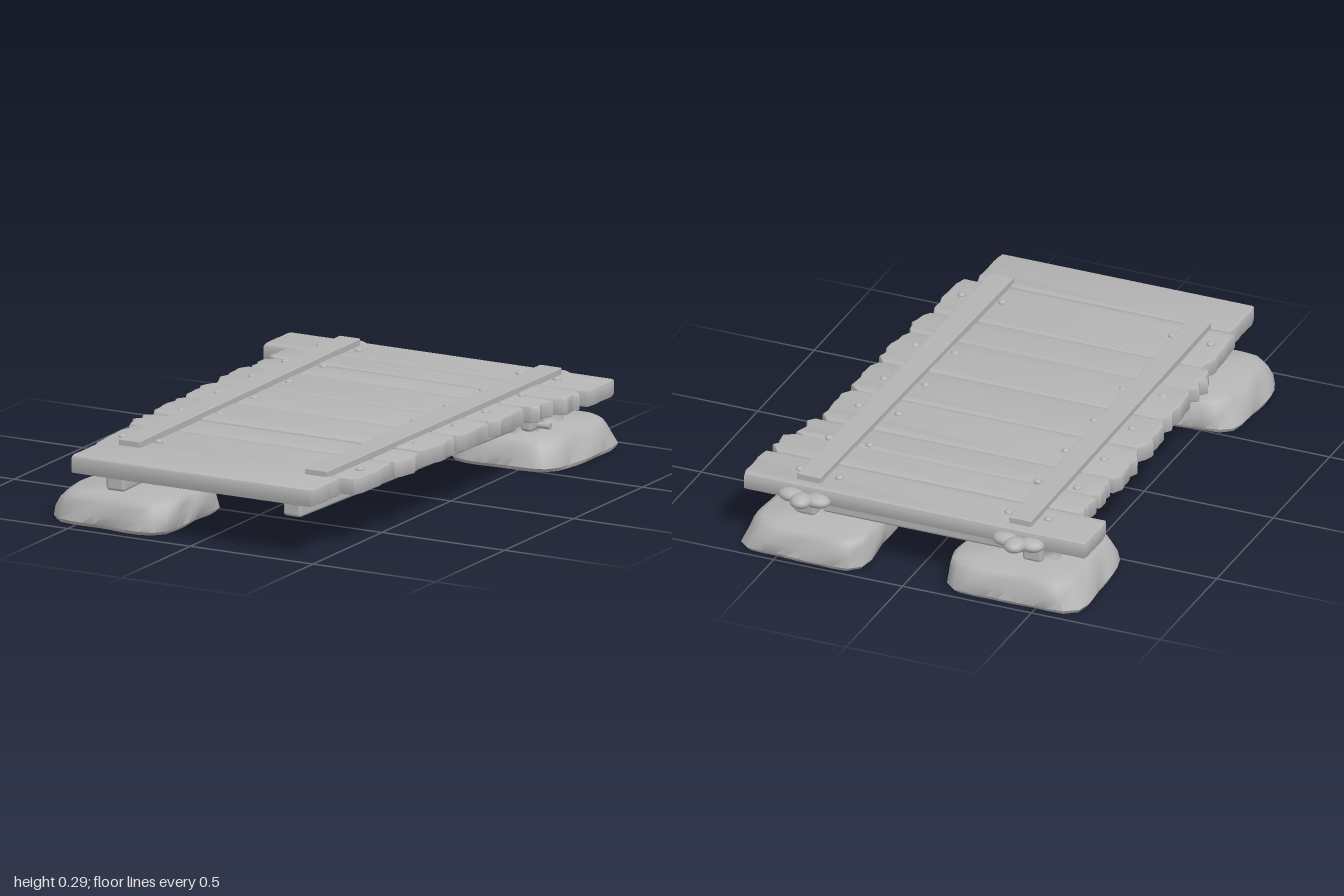
import * as THREE from 'three';
import { toCreasedNormals } from 'three/addons/utils/BufferGeometryUtils.js';
import { RoundedBoxGeometry } from 'three/addons/geometries/RoundedBoxGeometry.js';

const grey = new THREE.MeshStandardMaterial({ color: 0xb4b4b4 });
grey.name = 'weathered grey';

// Small seeded random, from -1 to 1
let seed = 7;
const rnd = () => {
  seed = (seed * 16807) % 2147483647;
  return (seed / 2147483647) * 2 - 1;
};

function add(group, name, geometry, x = 0, y = 0, z = 0) {
  const mesh = new THREE.Mesh(geometry, grey);
  mesh.name = name;
  mesh.position.set(x, y, z);
  group.add(mesh);
  return mesh;
}

// Flat board with ragged ends, bevelled on top and bottom
function plankGeometry(x0, x1, z0, z1, y0, y1, rag) {
  const b = 0.01, n = 7, pts = [];
  const zAt = (t) => z0 + b + (z1 - z0 - 2 * b) * t;
  for (let i = 0; i <= n; i++) {
    const corner = i === 0 || i === n ? rag * 0.9 : 0;
    pts.push(new THREE.Vector2(x1 - b - corner - Math.abs(rnd()) * rag, -zAt(i / n)));
  }
  for (let i = n; i >= 0; i--) {
    const corner = i === 0 || i === n ? rag * 0.9 : 0;
    pts.push(new THREE.Vector2(x0 + b + corner + Math.abs(rnd()) * rag, -zAt(i / n)));
  }
  const geo = new THREE.ExtrudeGeometry(new THREE.Shape(pts), {
    depth: y1 - y0 - 2 * b, bevelSize: b, bevelThickness: b, bevelSegments: 2,
  });
  geo.rotateX(-Math.PI / 2).translate(0, y0 + b, 0);
  return toCreasedNormals(geo, 0.7);
}

// Rounded square boulder built from stacked rings; the top leans by shiftX
function stoneGeometry(w, d, shiftX) {
  const n = 36, pos = [], idx = [];
  const rings = [[0, 0], [0.96, 0], [1, 0.014], [0.975, 0.05], [0.93, 0.085], [0.88, 0.105], [0.8, 0.116], [0, 0.118]];
  const phase = rnd() * 3;
  rings.forEach(([s, y]) => {
    for (let i = 0; i < n; i++) {
      const a = (i / n) * Math.PI * 2;
      const c = Math.cos(a), si = Math.sin(a);
      const r = Math.pow(c ** 6 + si ** 6, -1 / 6) * (0.98 + 0.03 * Math.sin(a * 3 + phase) + 0.015 * Math.sin(a * 7 + y * 50));
      pos.push(c * r * s * w / 2 + shiftX * y / 0.118, y, si * r * s * d / 2);
    }
  });
  for (let k = 0; k < rings.length - 1; k++) {
    for (let i = 0; i < n; i++) {
      const a = k * n + i, b = k * n + (i + 1) % n;
      idx.push(a, a + n, b, b, a + n, b + n);
    }
  }
  const geo = new THREE.BufferGeometry();
  geo.setAttribute('position', new THREE.Float32BufferAttribute(pos, 3));
  geo.setIndex(idx);
  return toCreasedNormals(geo, 0.75);
}

// Beam between two points on the ground plan
function beam(group, name, xa, za, xb, zb, y0, y1, width, r = 0.012) {
  const len = Math.hypot(xb - xa, zb - za);
  const mesh = add(group, name, new RoundedBoxGeometry(width, y1 - y0, len, 2, r),
    (xa + xb) / 2, (y0 + y1) / 2, (za + zb) / 2);
  mesh.rotation.y = Math.atan2(xb - xa, zb - za);
  return mesh;
}

export function createModel() {
  const model = new THREE.Group();
  model.name = 'woodenPlatform';

  // Three foundation stones
  const stones = new THREE.Group();
  stones.name = 'foundationStones';
  model.add(stones);
  add(stones, 'backRightStone', stoneGeometry(0.53, 0.52, 0.03), -0.405, 0, -0.725);
  add(stones, 'backLeftStone', stoneGeometry(0.49, 0.52, -0.025), 0.42, 0, -0.735);
  add(stones, 'frontRightStone', stoneGeometry(0.5, 0.48, 0.02), -0.385, 0, 0.72);

  // Deck planks, back to front: left end, right end, z start, z end
  const deck = new THREE.Group();
  deck.name = 'deck';
  model.add(deck);
  [
    [-0.67, 0.67, -0.9, -0.7, 0.006],
    [-0.57, 0.655, -0.7, -0.55, 0.02],
    [-0.57, 0.62, -0.55, -0.41, 0.02],
    [-0.58, 0.59, -0.41, -0.165, 0.02],
    [-0.58, 0.585, -0.165, 0.065, 0.02],
    [-0.57, 0.58, 0.065, 0.32, 0.02],
    [-0.565, 0.575, 0.32, 0.485, 0.02],
    [-0.53, 0.555, 0.485, 0.765, 0.012],
    [-0.505, 0.495, 0.765, 0.985, 0.006],
  ].forEach(([x0, x1, z0, z1, rag]) => {
    add(deck, 'plank', plankGeometry(x0, x1, z0, z1, 0.2, 0.264 + rnd() * 0.002, rag));
  });

  // Flat rails lying on the deck
  beam(model, 'rightRail', -0.395, -0.86, -0.38, 0.77, 0.258, 0.287, 0.085, 0.004);
  beam(model, 'leftRail', 0.425, -0.86, 0.4, 0.8, 0.258, 0.287, 0.09, 0.004);

  // Nail heads beside the rails
  const nail = new THREE.SphereGeometry(0.016, 10, 6).scale(1, 0.6, 1);
  [-0.79, -0.53, -0.28, -0.04, 0.23, 0.65].forEach((z) => {
    [-0.47, -0.32, 0.335, 0.49].forEach((x) => add(model, 'nail', nail, x, 0.264, z + rnd() * 0.012));
  });

  // Supporting frame: two long beams splayed toward the back and a cross beam
  const frame = new THREE.Group();
  frame.name = 'frame';
  model.add(frame);
  beam(frame, 'rightBeam', -0.375, 0.88, -0.44, -0.86, 0.125, 0.203, 0.075);
  beam(frame, 'leftBeam', 0.345, 0.88, 0.44, -0.86, 0.125, 0.203, 0.075);
  beam(frame, 'crossBeam', -0.43, -0.76, 0.43, -0.76, 0.115, 0.203, 0.08);

  // Posts flaring up from the back stones, with braces and pegs
  const post = new THREE.LatheGeometry(
    [[0.075, 0], [0.055, 0.03], [0.06, 0.06], [0.085, 0.1]].map(([x, y]) => new THREE.Vector2(x, y)), 16);
  const peg = new THREE.CylinderGeometry(0.012, 0.012, 0.16, 10).rotateZ(Math.PI / 2);
  [-1, 1].forEach((s) => {
    add(frame, 'post', post, s * 0.45, 0.103, -0.6);
    add(frame, 'post', post, s * 0.45, 0.103, -0.78);
    add(frame, 'peg', peg, s * 0.5, 0.15, -0.58);
    add(frame, 'pegCollar', new RoundedBoxGeometry(0.05, 0.05, 0.1, 2, 0.015), s * 0.505, 0.155, -0.58);
  });
  const brace = add(frame, 'brace', new RoundedBoxGeometry(0.035, 0.1, 0.06, 2, 0.01), -0.25, 0.155, -0.68);
  brace.rotation.z = -0.4;

  // Gnarled knots where the beams poke out behind the deck
  const knot = toCreasedNormals(new THREE.IcosahedronGeometry(1, 2), 1.2);
  [-0.41, 0.42].forEach((x) => {
    [[-0.05, 0.222, -0.91, 0.05, 0.025, 0.04], [0.05, 0.226, -0.91, 0.05, 0.024, 0.036], [0, 0.225, -0.94, 0.04, 0.026, 0.045]]
      .forEach(([dx, y, z, sx, sy, sz]) => add(model, 'knot', knot, x + dx, y, z).scale.set(sx, sy, sz));
  });

  return model;
}
